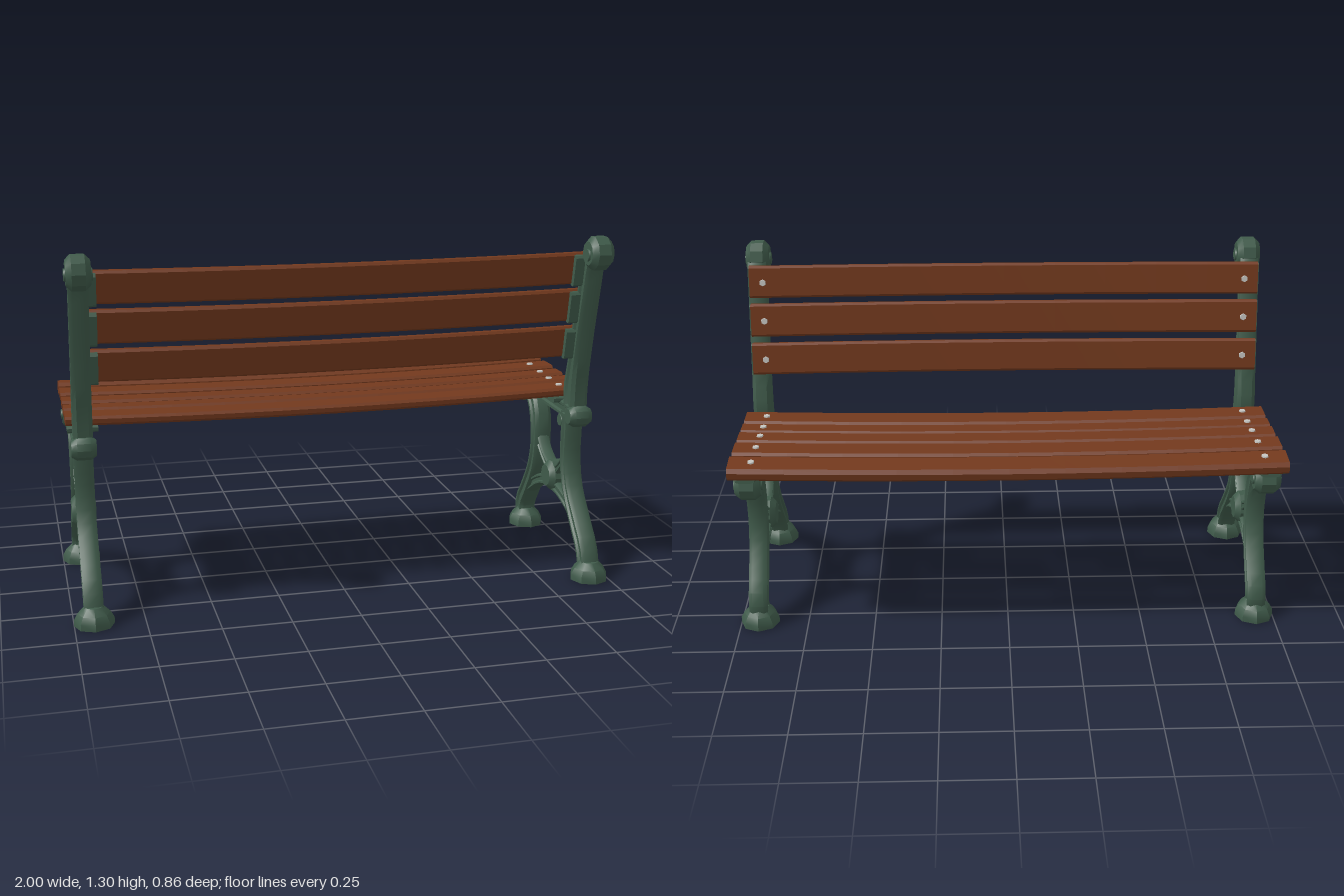
import * as THREE from 'three';
import { toCreasedNormals } from 'three/addons/utils/BufferGeometryUtils.js';

const V = (x, y, z) => new THREE.Vector3(x, y, z);

// Closed solid through a list of rings, each a list of Vector3
function loft(rings) {
  const n = rings[0].length, tris = [];
  const centre = r => r.reduce((a, p) => a.add(p), V(0, 0, 0)).divideScalar(n);
  const first = centre(rings[0]), last = centre(rings[rings.length - 1]);
  for (let j = 0; j < n; j++) {
    const k = (j + 1) % n;
    for (let i = 0; i + 1 < rings.length; i++) {
      const a = rings[i], b = rings[i + 1];
      tris.push([a[j], b[j], b[k]], [a[j], b[k], a[k]]);
    }
    const e = rings[rings.length - 1];
    tris.push([first, rings[0][j], rings[0][k]], [last, e[k], e[j]]);
  }
  // Turn the faces outward when the enclosed volume comes out negative
  const volume = tris.reduce((s, [a, b, c]) => s + a.dot(b.clone().cross(c)), 0);
  const points = tris.flatMap(t => (volume < 0 ? [t[0], t[2], t[1]] : t));
  return toCreasedNormals(new THREE.BufferGeometry().setFromPoints(points), 0.6);
}

// Cast bar section with a shallow groove on both flanks: [in-plane, sideways]
const half = [[1, 0.6], [0.75, 1], [0.45, 1], [0.25, 0.78], [-0.25, 0.78], [-0.45, 1], [-0.75, 1], [-1, 0.6]];
const section = [...half, ...half.map(([u, x]) => [-u, -x])];

// Bar in the side plane; each point is [z, y, half width]
function castBar(points, halfX, steps = 14) {
  const curve = new THREE.CatmullRomCurve3(points.map(([z, y, w]) => V(w, y, z)));
  const rings = [];
  for (let i = 0; i <= steps; i++) {
    const p = curve.getPoint(i / steps), t = curve.getTangent(i / steps);
    const len = Math.hypot(t.y, t.z), ny = -t.z / len, nz = t.y / len;
    rings.push(section.map(([u, x]) => V(x * halfX, p.y + u * p.x * ny, p.z + u * p.x * nz)));
  }
  return loft(rings);
}

function lathe(profile, sides) {
  const g = new THREE.LatheGeometry(profile.map(([x, y]) => new THREE.Vector2(x, y)), sides);
  return toCreasedNormals(g, 0.6);
}

// Chamfered disc with its axis along x
function knobGeometry(r, w, sides = 10) {
  return lathe([[0, -w], [r * 0.7, -w], [r, -w * 0.55], [r, w * 0.55], [r * 0.7, w], [0, w]], sides)
    .rotateZ(Math.PI / 2);
}

// Plank along x with chamfered edges, bent in the middle by (bowY, bowZ)
function plankGeometry(length, height, depth, bowY, bowZ) {
  const h = height / 2, d = depth / 2, c = Math.min(h, d) * 0.55;
  const outline = [[h, d - c], [h - c, d], [c - h, d], [-h, d - c], [-h, c - d], [c - h, -d], [h - c, -d], [h, c - d]];
  const rings = [];
  for (let i = 0; i <= 10; i++) {
    const t = i / 5 - 1, bend = 1 - t * t;
    rings.push(outline.map(([y, z]) => V(t * length / 2, y + bowY * bend, z + bowZ * bend)));
  }
  return loft(rings);
}

export function createModel() {
  const bench = new THREE.Group();
  bench.name = 'bench';
  const material = (name, color) => {
    const m = new THREE.MeshStandardMaterial({ color });
    m.name = name;
    return m;
  };
  const iron = material('green cast iron', 0x3f5a4a);
  const wood = material('brown wood', 0x73391d);
  const steel = material('bolt steel', 0xc4c4c0);

  const add = (parent, name, geometry, mat, x = 0, y = 0, z = 0, tilt = 0) => {
    const mesh = new THREE.Mesh(geometry, mat);
    mesh.name = name;
    mesh.position.set(x, y, z);
    mesh.rotation.x = tilt;
    parent.add(mesh);
    return mesh;
  };

  // Slat centres: [y, z, height or depth]
  const backSlats = [[1.17, 0.209, 0.12], [1.028, 0.181, 0.124], [0.884, 0.152, 0.12]];
  const seatSlats = [[0.68, -0.378, 0.106], [0.684, -0.249, 0.102], [0.678, -0.138, 0.086],
    [0.673, -0.046, 0.076], [0.671, 0.056, 0.102]];
  const backTilt = 0.17;

  // Bars of one end frame: name, half thickness, [z, y, half width]
  const bars = [
    ['backPost', 0.034, [[0.3, 1.25, 0.035], [0.262, 1.19, 0.036], [0.242, 1.1, 0.034], [0.206, 0.94, 0.034],
      [0.178, 0.8, 0.036], [0.158, 0.69, 0.046], [0.165, 0.6, 0.04]]],
    ['seatRail', 0.034, [[0.19, 0.605, 0.03], [0.1, 0.607, 0.034], [-0.05, 0.61, 0.034], [-0.25, 0.618, 0.032], [-0.39, 0.642, 0.016]]],
    ['rearLeg', 0.034, [[0.135, 0.6, 0.034], [0.137, 0.52, 0.028], [0.137, 0.42, 0.028], [0.17, 0.305, 0.03],
      [0.25, 0.2, 0.032], [0.325, 0.11, 0.033], [0.355, 0.03, 0.03]]],
    ['frontLeg', 0.034, [[-0.26, 0.605, 0.03], [-0.19, 0.535, 0.04], [-0.165, 0.41, 0.03], [-0.187, 0.29, 0.03],
      [-0.25, 0.18, 0.032], [-0.305, 0.095, 0.033], [-0.3, 0.03, 0.03]]],
    ['lowerArch', 0.026, [[0.27, 0.18, 0.02], [0.17, 0.235, 0.022], [0.08, 0.262, 0.022], [0, 0.27, 0.024],
      [-0.08, 0.262, 0.022], [-0.16, 0.23, 0.022], [-0.25, 0.17, 0.02]]],
    ['rearBrace', 0.024, [[0.135, 0.43, 0.022], [0.09, 0.375, 0.015], [0.01, 0.31, 0.024]]],
    ['frontBrace', 0.024, [[-0.165, 0.43, 0.022], [-0.105, 0.37, 0.015], [0, 0.31, 0.024]]],
    ['railGusset', 0.026, [[0.15, 0.575, 0.03], [0.11, 0.56, 0.03], [0.07, 0.58, 0.018]]],
  ].map(([name, x, points]) => [name, castBar(points, x)]);

  // Round castings: name, y, z, radius, half thickness
  const knobs = [
    ['topScroll', 1.236, 0.308, 0.063, 0.042], ['topScrollEye', 1.23, 0.312, 0.03, 0.048],
    ['backJointKnob', 0.597, 0.197, 0.042, 0.044], ['gussetKnob', 0.558, 0.1, 0.032, 0.036],
    ['frontScroll', 0.588, -0.322, 0.056, 0.046], ['frontScrollEye', 0.588, -0.322, 0.026, 0.052],
    ['centreHub', 0.305, 0.004, 0.062, 0.044],
  ].map(([name, y, z, r, w]) => [name, knobGeometry(r, w), y, z]);

  const foot = lathe([[0, 0], [0.071, 0], [0.071, 0.022], [0.058, 0.046], [0.034, 0.07], [0, 0.07]], 8);
  const bolt = new THREE.CylinderGeometry(0.012, 0.014, 0.008, 6);

  // Two mirrored end frames
  for (const s of [1, -1]) {
    const frame = new THREE.Group();
    frame.name = s > 0 ? 'leftFrame' : 'rightFrame';
    frame.position.x = s * 0.93;
    bench.add(frame);
    for (const [name, geometry] of bars) add(frame, name, geometry, iron);
    for (const [name, geometry, y, z] of knobs) add(frame, name, geometry, iron, 0, y, z);
    add(frame, 'rearFoot', foot, iron, 0, 0, 0.357);
    add(frame, 'frontFoot', foot, iron, 0, 0, -0.298);

    // Flange under the seat slats and pads behind the back slats
    add(frame, 'seatFlange', plankGeometry(0.11, 0.024, 0.5, 0, 0), iron, -s * 0.005, 0.645, -0.15, 0.03);
    for (const [y, z, h] of backSlats) {
      add(frame, 'slatPad', plankGeometry(0.095, h * 0.98, 0.03, 0, 0), iron, -s * 0.015, y - 0.008, z + 0.024, backTilt);
    }
  }

  // Wooden slats with bolts near both ends
  for (const [y, z, h] of backSlats) {
    add(bench, 'backSlat', plankGeometry(1.91, h, 0.03, 0, 0.028), wood, 0, y, z, backTilt);
    for (const s of [1, -1]) add(bench, 'backBolt', bolt, steel, s * 0.905, y, z - 0.014, backTilt - Math.PI / 2);
  }
  seatSlats.forEach(([y, z, d], i) => {
    const thick = i === 0 ? 0.048 : 0.034, tilt = i === 0 ? -0.12 : 0;
    add(bench, 'seatSlat', plankGeometry(1.97, thick, d, -0.015, 0), wood, 0, y, z, tilt);
    for (const s of [1, -1]) add(bench, 'seatBolt', bolt, steel, s * 0.905, y + thick / 2 - 0.001, z, tilt);
  });

  return bench;
}
